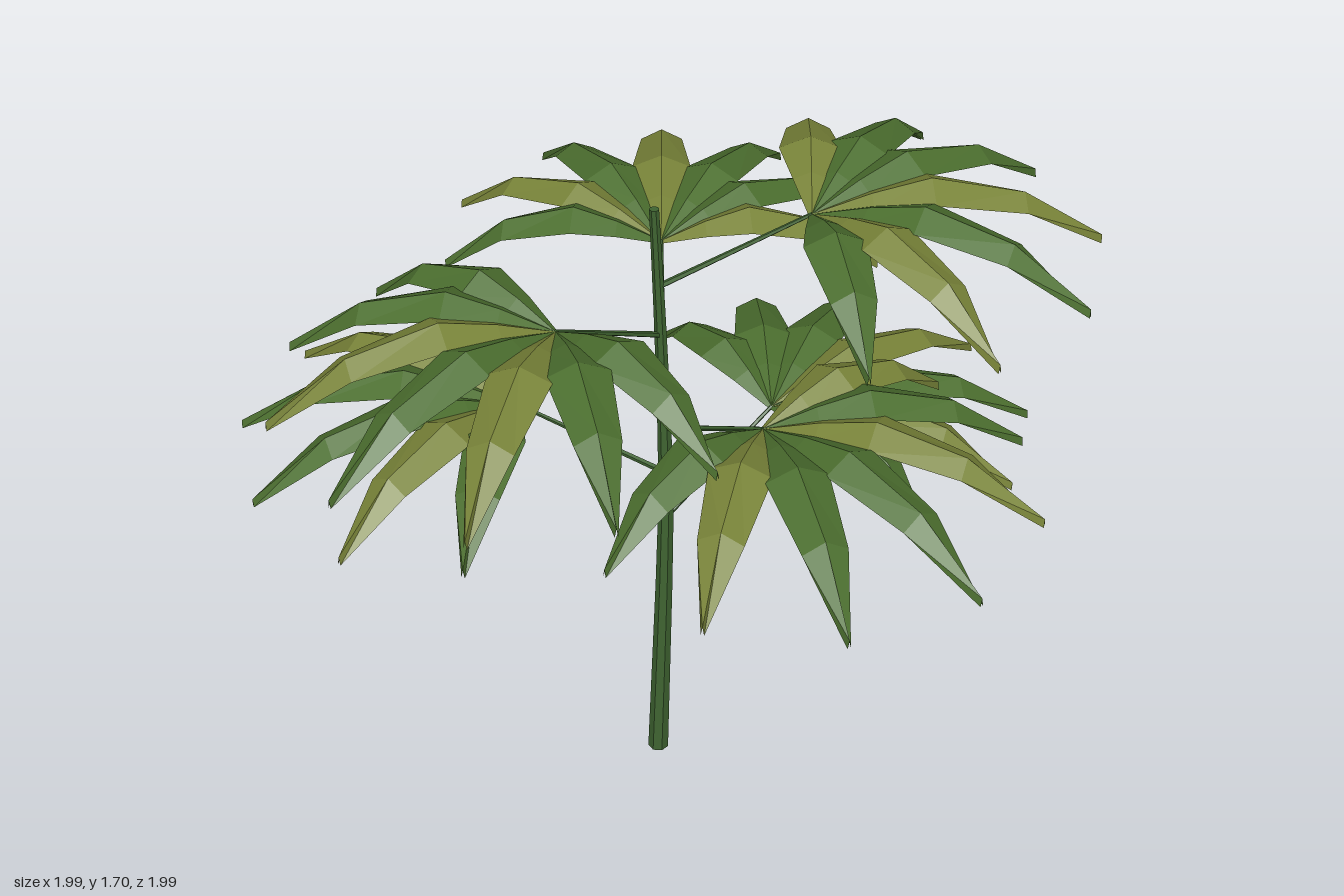
import * as THREE from 'three';

const material = (name, color) => {
  const m = new THREE.MeshStandardMaterial({ color, flatShading: true, side: THREE.DoubleSide });
  m.name = name;
  return m;
};

const rad = THREE.MathUtils.degToRad;
const stemHeight = 1.64;

// Gently bent centre line of the stem
const stemCurve = new THREE.CatmullRomCurve3([
  [-0.008, 0, 0], [0.004, 0.41, 0], [0.014, 0.82, 0], [0.006, 1.23, -0.01], [-0.009, 1.64, -0.02],
].map((p) => new THREE.Vector3(...p)));

function stemGeometry() {
  const g = new THREE.CylinderGeometry(0.012, 0.027, stemHeight, 7, 6);
  g.translate(0, stemHeight / 2, 0);
  const pos = g.attributes.position;
  for (let i = 0; i < pos.count; i++) {
    const c = stemCurve.getPoint(pos.getY(i) / stemHeight);
    pos.setXYZ(i, pos.getX(i) + c.x, pos.getY(i), pos.getZ(i) + c.z);
  }
  g.computeVertexNormals();
  return g;
}

// Thin tapered rod from a to b
function rod(a, b, r0, r1, mat) {
  const dir = b.clone().sub(a);
  const mesh = new THREE.Mesh(new THREE.CylinderGeometry(r1, r0, dir.length(), 5), mat);
  mesh.position.copy(a).addScaledVector(dir, 0.5);
  mesh.quaternion.setFromUnitVectors(new THREE.Vector3(0, 1, 0), dir.normalize());
  return mesh;
}

// Roof-shaped leaflet along +x: [part of length, height, half width, edge drop]
const sections = [
  [0, 0, 0.008, 0.004],
  [0.2, 0.048, 0.043, 0.019],
  [0.4, 0.082, 0.074, 0.032],
  [0.72, 0.034, 0.053, 0.028],
  [1, -0.091, 0.004, 0.022],
];

function leafletGeometry(length) {
  const verts = [];
  const index = [];
  sections.forEach(([u, y, w, drop], i) => {
    const x = u * length;
    verts.push(x, y - drop, -w, x, y, 0, x, y - drop, w);
    if (i === 0) return;
    for (let s = 0; s < 2; s++) {
      const a = (i - 1) * 3 + s;
      const b = a + 3;
      index.push(a, a + 1, b, a + 1, b + 1, b);
    }
  });
  const g = new THREE.BufferGeometry();
  g.setAttribute('position', new THREE.Float32BufferAttribute(verts, 3));
  g.setIndex(index);
  g.computeVertexNormals();
  return g;
}

// Leaflet colours of each fan from the lowest up: g green, o olive
const fanColours = ['gggogog', 'goggogo', 'ogoggog', 'gogoggo', 'ggogogg', 'oggogog'];

export function createModel() {
  const plant = new THREE.Group();
  plant.name = 'plant';
  const stemGreen = material('stem green', 0x3f6431);
  const leafColours = {
    g: material('leaf green', 0x4c6f2f),
    o: material('leaf olive', 0x798439),
  };

  const stem = new THREE.Mesh(stemGeometry(), stemGreen);
  stem.name = 'stem';
  plant.add(stem);

  // Six fans of leaflets spiralling up the stem
  fanColours.forEach((colours, i) => {
    const angle = rad(-17.5 - 137.5 * i);
    const peak = 1.03 + 0.134 * i;
    const dir = new THREE.Vector3(Math.cos(angle), 0, Math.sin(angle));
    const base = stemCurve.getPoint((peak - 0.27) / stemHeight);
    const hub = dir.clone().multiplyScalar(0.35).setY(peak - 0.082);

    const stalk = rod(base, hub, 0.008, 0.005, stemGreen);
    stalk.name = 'leafStalk' + (i + 1);
    plant.add(stalk);

    const fan = new THREE.Group();
    fan.name = 'leafFan' + (i + 1);
    fan.position.copy(hub);
    fan.rotation.y = -angle;
    [...colours].forEach((c, k) => {
      const t = (k - 3) / 3;
      const leaflet = new THREE.Mesh(leafletGeometry(0.688 * (1 - 0.21 * t * t)), leafColours[c]);
      leaflet.name = 'leaflet' + (k + 1);
      leaflet.rotation.y = -rad(84 * t);
      fan.add(leaflet);
    });
    plant.add(fan);
  });
  return plant;
}
